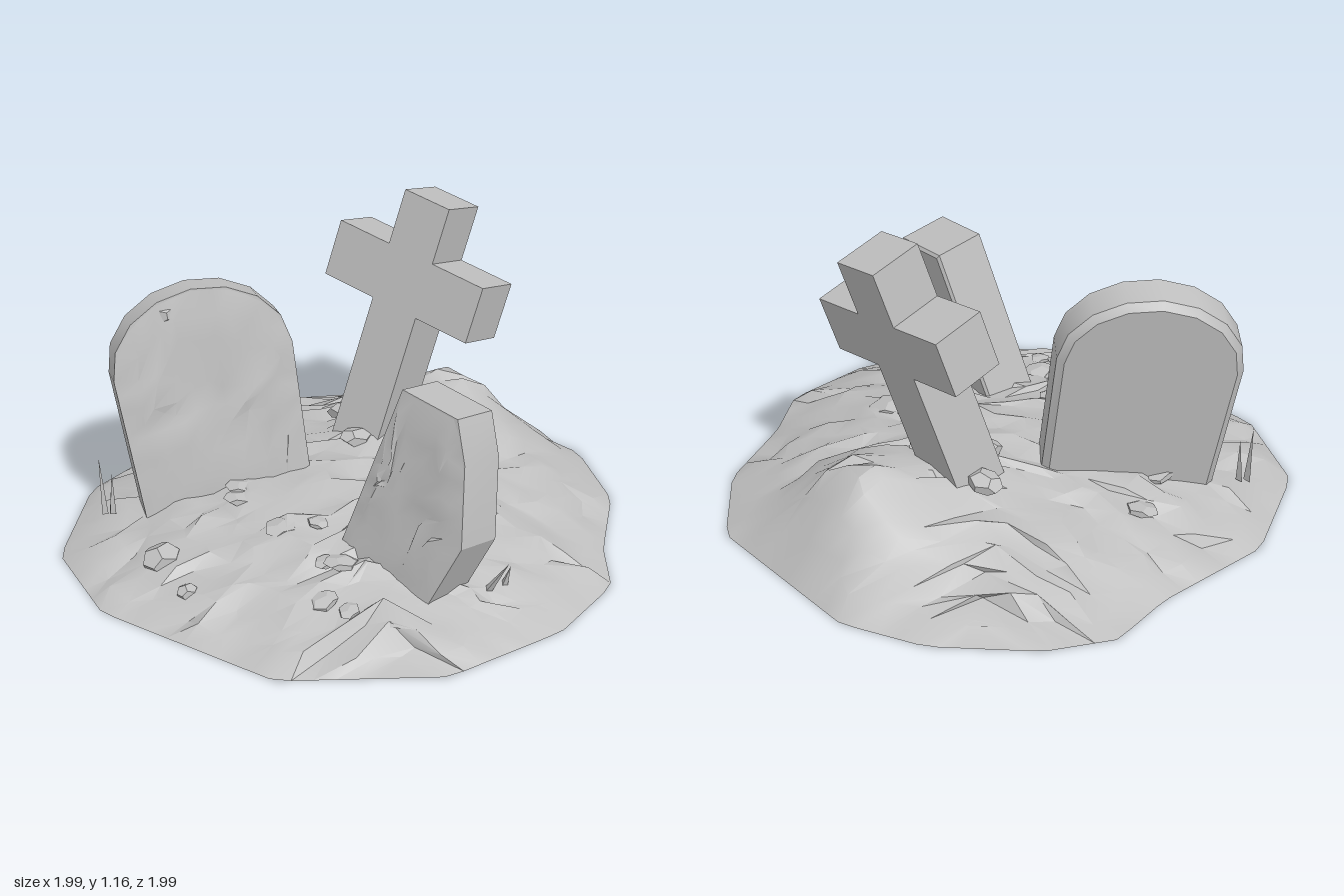
import * as THREE from 'three';
import { toCreasedNormals } from 'three/addons/utils/BufferGeometryUtils.js';

const points = (list) => list.map(([x, y]) => new THREE.Vector2(x, y));
const centreOf = (outline) => new THREE.Box2().setFromPoints(outline).getCenter(new THREE.Vector2());

// Distance from c to the outline in the direction d
function reach(outline, c, d) {
  let far = 0;
  outline.forEach((p, i) => {
    const e = outline[(i + 1) % outline.length].clone().sub(p);
    const w = p.clone().sub(c), k = d.cross(e);
    if (Math.abs(k) < 1e-9) return;
    const s = w.cross(d) / k, t = w.cross(e) / k;
    if (t > 0 && s > -1e-6 && s < 1 + 1e-6) far = Math.max(far, t);
  });
  return far;
}

// Slab centred on z = 0, chamfered at the back and square at the front
function slab(outline, thickness, bevel) {
  const g = new THREE.ExtrudeGeometry(new THREE.Shape(outline), {
    depth: thickness - 2 * bevel, bevelEnabled: bevel > 0, bevelThickness: bevel,
    bevelSize: bevel, bevelOffset: -bevel, bevelSegments: 1, curveSegments: 1,
  });
  g.translate(0, 0, bevel - thickness / 2);
  const pos = g.attributes.position;
  for (let i = 0; i < pos.count; i++) {
    if (pos.getZ(i) < thickness / 2 - 0.001) continue;
    const v = new THREE.Vector2(pos.getX(i), pos.getY(i));
    const p = outline.reduce((a, b) => (b.distanceTo(v) < a.distanceTo(v) ? b : a));
    pos.setXY(i, p.x, p.y);
  }
  return g;
}

export function createModel() {
  const model = new THREE.Group();
  const stone = new THREE.MeshStandardMaterial({ color: 0xc0c0c0 });
  stone.name = 'grey stone';

  let seed = 11;
  const rand = () => {
    seed = (seed * 16807) % 2147483647;
    return seed / 2147483647;
  };
  const jitter = (a) => (rand() * 2 - 1) * a;

  const add = (parent, name, geometry, crease = 0.45) => {
    const mesh = new THREE.Mesh(toCreasedNormals(geometry, crease), stone);
    mesh.name = name;
    parent.add(mesh);
    return mesh;
  };

  // Rough surface facing +z: a square grid wrapped onto the outline
  function roughSurface(outline, n, spread, height) {
    const g = new THREE.PlaneGeometry(2, 2, n, n);
    const pos = g.attributes.position;
    const c = centreOf(outline);
    for (let i = 0; i < pos.count; i++) {
      const u = pos.getX(i), v = pos.getY(i);
      const t = Math.max(Math.abs(u), Math.abs(v));
      let a = 0;
      if (t > 1e-6) {
        a = Math.abs(u) >= Math.abs(v)
          ? (v / u) * Math.PI / 4 + (u < 0 ? Math.PI : 0)
          : Math.PI / 2 - (u / v) * Math.PI / 4 + (v < 0 ? Math.PI : 0);
      }
      const d = new THREE.Vector2(Math.cos(a), Math.sin(a));
      const r = reach(outline, c, d) * t;
      const s = t > 0.999 ? 0 : spread;
      const x = c.x + d.x * r + jitter(s), y = c.y + d.y * r + jitter(s);
      pos.setXYZ(i, x, y, height(x, y, t));
    }
    return g;
  }

  // Earth mound: broad dome with a ridge behind the cross, steep at the back
  const rim = points([
    [-0.31, -1], [0.38, -0.97], [0.67, -0.73], [0.83, -0.4], [0.98, -0.2],
    [0.99, 0.15], [0.83, 0.6], [0.38, 0.96], [-0.36, 0.99], [-0.73, 0.8],
    [-0.96, 0.38], [-0.95, -0.1], [-1, -0.37], [-0.88, -0.6], [-0.6, -0.87],
  ]);
  const profile = [0.225, 0.22, 0.21, 0.2, 0.185, 0.17, 0.15, 0.12, 0.085, 0.045, 0];
  const groundHeight = (x, z, t) => {
    const k = Math.min(9, Math.floor(t * 10));
    const dome = THREE.MathUtils.lerp(profile[k], profile[k + 1], t * 10 - k);
    const run = z < -0.7 ? 0.2 : 0.29;
    const ridge = 0.24 * Math.exp(-(((x + 0.03) / 0.26) ** 2) - ((z + 0.7) / run) ** 2);
    const heap = 0.035 * Math.exp(-(((x + 0.1) / 0.22) ** 2) - ((z + 0.28) / 0.16) ** 2);
    return dome + ridge + heap;
  };
  const rimUp = rim.map((p) => new THREE.Vector2(p.x, -p.y)).reverse();
  const mound = add(model, 'mound', roughSurface(rimUp, 22, 0.03, (x, y, t) => {
    if (t > 0.999) return 0;
    const rough = y > 0.62 ? 0.008 : 0.021;
    return Math.max(0.012, groundHeight(x, -y, t) + jitter(rough));
  }), 0.55);
  mound.rotation.x = -Math.PI / 2;
  const base = add(model, 'mound underside', new THREE.ShapeGeometry(new THREE.Shape(rim)));
  base.rotation.x = Math.PI / 2;

  // Weathered front face laid over a slab
  const weatheredFace = (outline, z, depth) => {
    const c = centreOf(outline);
    const inner = outline.map((p) => c.clone().lerp(p, 0.985));
    return roughSurface(inner, 10, 0.018,
      (x, y, t) => z + (t > 0.999 ? 0.001 : 0.002 + rand() * depth));
  };

  // Leaning cross
  const cross = new THREE.Group();
  cross.name = 'cross';
  cross.position.set(-0.048, 0.835, -0.468);
  cross.rotation.set(-0.267, 0, -0.15);
  model.add(cross);
  const half = [[0.1, -0.72], [0.1, -0.125], [0.328, -0.125], [0.328, 0.09], [0.1, 0.09], [0.1, 0.302]];
  const mirrored = half.map(([x, y]) => [-x, y]).reverse();
  add(cross, 'cross body', slab(points([...half, ...mirrored]), 0.2, 0));

  // Round-topped headstone, turned and leaning to the side
  const arch = new THREE.Group();
  arch.name = 'round headstone';
  arch.position.set(-0.39, 0, 0.24);
  arch.rotation.set(0, 0.9, 0.19, 'ZYX');
  model.add(arch);
  const archOutline = points([[-0.31, 0.05], [0.31, 0.05]]);
  for (let i = 0; i <= 8; i++) {
    const a = (i / 8) * Math.PI;
    archOutline.push(new THREE.Vector2(Math.cos(a) * 0.33, 0.66 + Math.sin(a) * 0.275));
  }
  add(arch, 'round headstone body', slab(archOutline, 0.15, 0.025));
  add(arch, 'round headstone face', weatheredFace(archOutline, 0.075, 0.016));
  const chip = add(arch, 'chipped top', new THREE.DodecahedronGeometry(0.04), 0.1);
  chip.position.set(-0.1, 0.86, 0.065);
  chip.scale.set(1, 0.9, 0.6);

  // Broken headstone, leaning back
  const broken = new THREE.Group();
  broken.name = 'broken headstone';
  broken.position.set(0.47, 0.05, 0.31);
  broken.rotation.set(-0.2, -0.1, 0);
  model.add(broken);
  const brokenOutline = points([
    [-0.29, 0], [0.14, 0], [0.26, 0.27], [0.225, 0.56], [0.17, 0.705], [-0.075, 0.735],
  ]);
  add(broken, 'broken headstone body', slab(brokenOutline, 0.195, 0.01));
  add(broken, 'broken headstone face', weatheredFace(brokenOutline, 0.0975, 0.012));

  // Loose rocks and flat shards sunk into the mound
  const rock = (name, x, y, z, r, flat) => {
    const m = add(model, name, new THREE.DodecahedronGeometry(r), 0.1);
    m.position.set(x, y, z);
    m.rotation.set(jitter(0.25), rand() * 6, jitter(0.25));
    m.scale.set(1, flat, 0.85);
  };
  rock('large rock', -0.31, 0.1, 0.72, 0.08, 0.75);
  rock('small rock', -0.12, 0.08, 0.81, 0.042, 0.8);
  for (let i = 0; i < 14; i++) {
    const a = jitter(1.9), r = 0.3 + rand() * 0.45;
    const x = Math.sin(a) * r, z = Math.cos(a) * r;
    rock('stone shard', x, groundHeight(x, z, r), z, 0.04 + rand() * 0.04, 0.3);
  }
  for (let i = 0; i < 4; i++) {
    const a = (i / 4) * Math.PI * 2;
    rock('earth clod', -0.12 + Math.cos(a) * 0.16, 0.25 + rand() * 0.02, -0.32 + Math.sin(a) * 0.14, 0.07, 0.45);
  }

  // Sharp grass blades beside the headstones
  const blade = (x, y, z, h, lean) => {
    const m = add(model, 'grass blade', new THREE.ConeGeometry(0.018, h, 3).translate(0, h / 2, 0), 0.1);
    m.position.set(x, y, z);
    m.rotation.z = lean;
    m.scale.z = 0.6;
  };
  blade(-0.71, 0.08, 0.58, 0.23, 0.06);
  blade(-0.69, 0.08, 0.56, 0.17, -0.05);
  blade(0.71, 0.08, 0.2, 0.17, -0.55);
  blade(0.74, 0.08, 0.14, 0.1, -0.3);

  return model;
}
